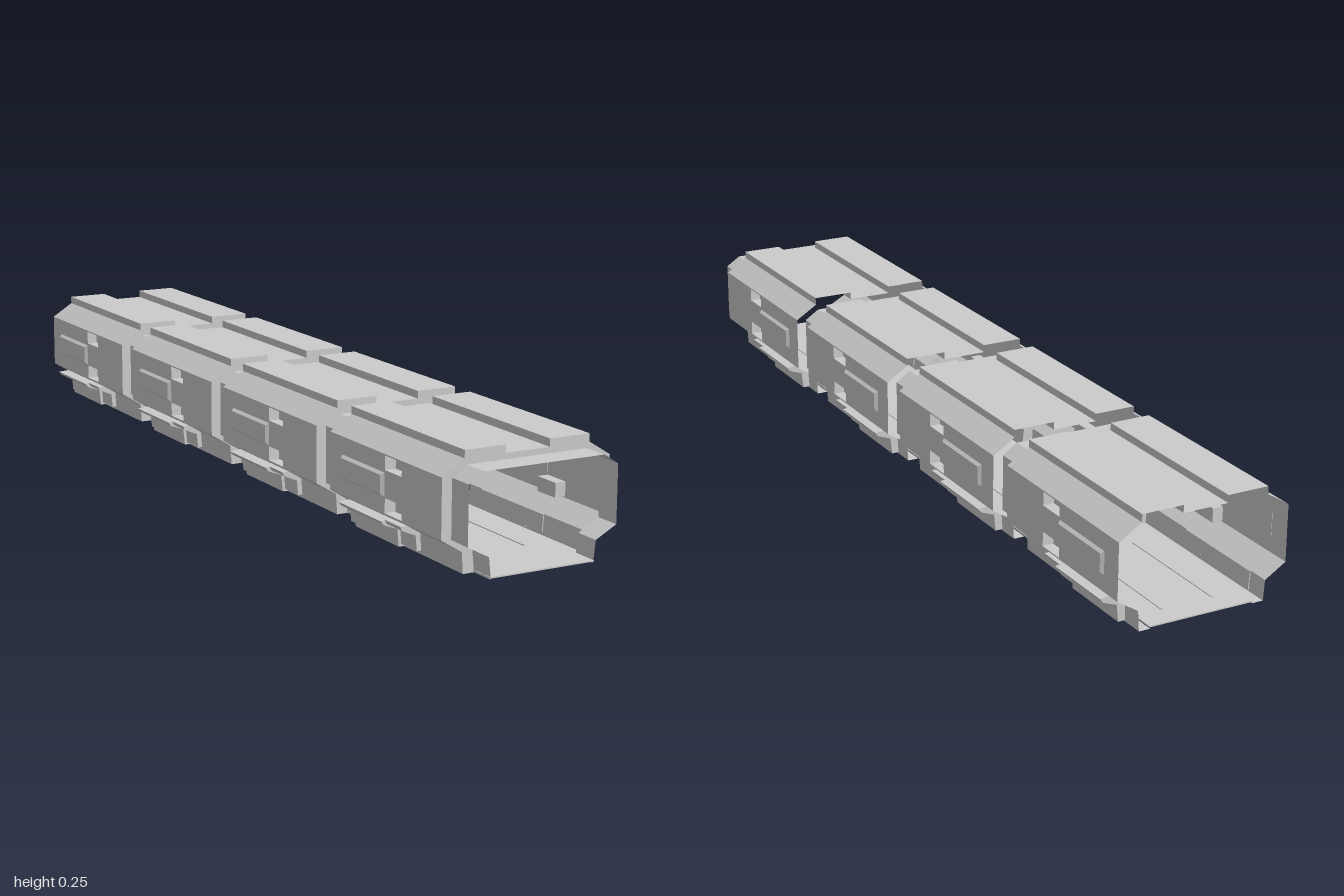
import * as THREE from 'three';

const grey = new THREE.MeshStandardMaterial({ color: 0xcccccc, flatShading: true, side: THREE.DoubleSide });

// Half profiles (+x side), from roof centre down to the foot
const OUTER_TOP = [[0, 0.235], [0.052, 0.235], [0.052, 0.252], [0.147, 0.252], [0.147, 0.235], [0.198, 0.203]];
const OUTER_LOW = [[0.198, 0.077], [0.15, 0.047], [0.147, 0.002], [0.121, 0.002]];
const INNER = [[0, 0.222], [0.141, 0.222], [0.175, 0.2], [0.175, 0.075], [0.126, 0.049], [0.121, 0.002]];

function add(group, name, geometry, x = 0, y = 0, z = 0) {
  const mesh = new THREE.Mesh(geometry, grey);
  mesh.name = name;
  mesh.position.set(x, y, z);
  group.add(mesh);
  return mesh;
}

// Open sheet swept along z from a row of [x, y] points
function sheet(points, z0, z1) {
  const pos = [];
  for (let i = 0; i < points.length - 1; i++) {
    const [ax, ay] = points[i], [bx, by] = points[i + 1];
    pos.push(ax, ay, z0, bx, by, z1, bx, by, z0, ax, ay, z0, ax, ay, z1, bx, by, z1);
  }
  const g = new THREE.BufferGeometry();
  g.setAttribute('position', new THREE.Float32BufferAttribute(pos, 3));
  g.computeVertexNormals();
  return g;
}

function shapeOf(points) {
  return new THREE.Shape(points.map(([x, y]) => new THREE.Vector2(x, y)));
}

function prism(points, z0, z1) {
  return new THREE.ExtrudeGeometry(shapeOf(points), { depth: z1 - z0, bevelEnabled: false }).translate(0, 0, z0);
}

const flip = (points, side) => points.map(([x, y]) => [x * side, y]);

// Rectangle in the z/y plane
const rect = (z0, z1, y0, y1) => [[z0, y0], [z1, y0], [z1, y1], [z0, y1]];

// Flat z/y shape stood upright at a given x
function wallGeometry(shape, x) {
  return new THREE.ShapeGeometry(shape).rotateY(-Math.PI / 2).translate(x, 0, 0);
}

// Raised panel with sloping edges, tapering towards +x
function bevelPanel(z0, z1, y0, y1, x0, x1, inset) {
  const g = new THREE.BoxGeometry(x1 - x0, y1 - y0, z1 - z0);
  const p = g.attributes.position;
  for (let i = 0; i < p.count; i++) {
    if (p.getX(i) > 0) {
      p.setY(i, p.getY(i) - Math.sign(p.getY(i)) * inset);
      p.setZ(i, p.getZ(i) - Math.sign(p.getZ(i)) * inset);
    }
  }
  g.computeVertexNormals();
  return g.translate((x0 + x1) / 2, (y0 + y1) / 2, (z0 + z1) / 2);
}

// One side of a section; z runs from 0 (back) to 0.5 (front)
function createSide(side) {
  const half = new THREE.Group();
  half.name = side > 0 ? 'leftSide' : 'rightSide';
  const put = (name, geometry) => {
    if (side < 0) {
      // Mirror the vertices and reverse the winding
      const g = geometry.index ? geometry.toNonIndexed() : geometry;
      const p = g.attributes.position;
      for (let i = 0; i < p.count; i += 3) {
        const v = [0, 2, 1].map(k => new THREE.Vector3().fromBufferAttribute(p, i + k));
        v.forEach((q, k) => p.setXYZ(i + k, -q.x, q.y, q.z));
      }
      g.computeVertexNormals();
      geometry = g;
    }
    add(half, name, geometry);
  };

  // Outer shell and the narrow collar in front of it
  put('roof', sheet(OUTER_TOP, 0, 0.44));
  put('lowerSkirt', sheet(OUTER_LOW, 0, 0.44));
  put('collar', sheet(INNER, 0.44, 0.5));
  const ring = [...OUTER_TOP, ...OUTER_LOW, ...[...INNER].reverse().slice(1)];
  put('frontRing', new THREE.ShapeGeometry(shapeOf(ring)).translate(0, 0, 0.44));

  // Side wall with two sunken pockets
  const wall = shapeOf(rect(0, 0.44, 0.077, 0.203));
  for (const [y0, y1] of [[0.08, 0.112], [0.17, 0.2]]) {
    wall.holes.push(new THREE.Path(rect(0.225, 0.29, y0, y1).map(([z, y]) => new THREE.Vector2(z, y))));
    put('pocketBack', wallGeometry(shapeOf(rect(0.225, 0.29, y0, y1)), 0.173));
    const loop = [[0.173, y0], [0.198, y0]];
    put('pocketFloor', sheet(loop, 0.225, 0.29));
    put('pocketCeiling', sheet(loop.map(([x]) => [x, y1]), 0.225, 0.29));
    for (const z of [0.225, 0.29]) {
      put('pocketEnd', new THREE.PlaneGeometry(0.025, y1 - y0).translate(0.1855, (y0 + y1) / 2, z));
    }
  }
  put('sideWall', wallGeometry(wall, 0.198));
  put('sidePanel', bevelPanel(0.05, 0.225, 0.112, 0.166, 0.196, 0.205, 0.007));

  // Pod hugging the lower skirt, with a slimmer front part
  put('pod', prism([[0.145, 0.005], [0.164, 0.005], [0.168, 0.043], [0.2, 0.055], [0.207, 0.064], [0.18, 0.066], [0.148, 0.046]], 0.05, 0.225));
  put('podFront', prism([[0.145, 0.01], [0.158, 0.01], [0.161, 0.043], [0.193, 0.057], [0.197, 0.066], [0.18, 0.066], [0.148, 0.046]], 0.225, 0.285));
  return half;
}

function createSection(index) {
  const section = new THREE.Group();
  section.name = `section${index + 1}`;
  section.add(createSide(1), createSide(-1));

  // Floor plate with thin panels on its underside
  add(section, 'floor', new THREE.BoxGeometry(0.246, 0.003, 0.5), 0, 0.0065, 0.25);
  for (const x of [-0.073, 0, 0.073]) {
    add(section, 'floorPanel', new THREE.BoxGeometry(0.064, 0.002, 0.15), x, 0.004, 0.12);
    add(section, 'floorPanel', new THREE.BoxGeometry(0.064, 0.002, 0.13), x, 0.004, 0.28);
  }
  // Ribs on the walking surface
  for (const x of [-0.06, 0.06]) {
    add(section, 'floorRib', new THREE.BoxGeometry(0.006, 0.002, 0.3), x, 0.009, 0.2);
  }
  return section;
}

export function createModel() {
  const model = new THREE.Group();
  model.name = 'corridor';
  for (let i = 0; i < 4; i++) {
    const section = createSection(i);
    section.position.z = 0.5 - i * 0.5;
    model.add(section);
  }
  return model;
}
